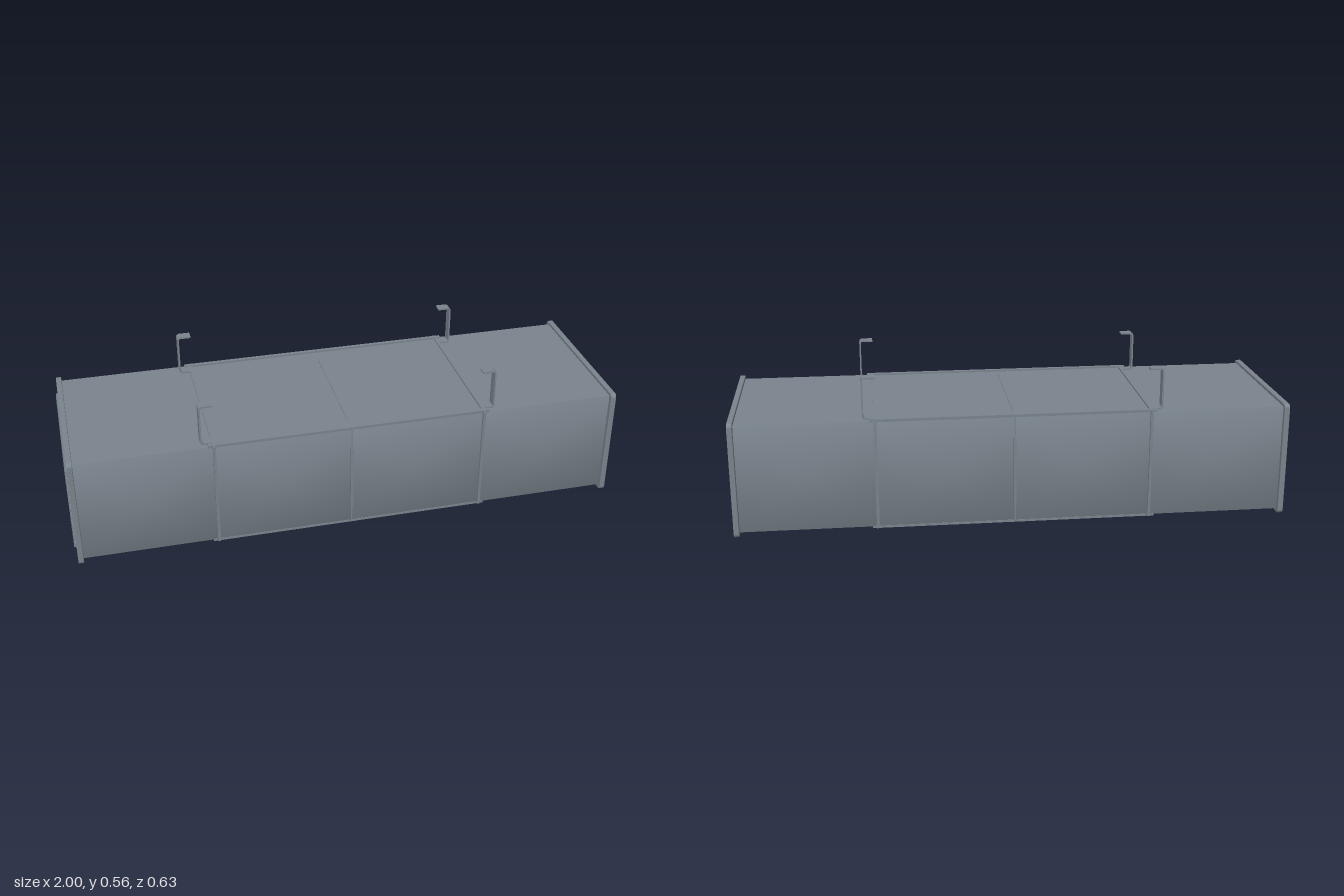
import * as THREE from 'three';

const metal = new THREE.MeshStandardMaterial({ color: 0x7b858e, side: THREE.DoubleSide });

const Y0 = 0.015, Y1 = 0.408, YC = 0.2115, ZW = 0.295;

function add(parent, name, geometry) {
  const mesh = new THREE.Mesh(geometry, metal);
  mesh.name = name;
  parent.add(mesh);
  return mesh;
}

function box(parent, name, w, h, d, x, y, z) {
  const mesh = add(parent, name, new THREE.BoxGeometry(w, h, d));
  mesh.position.set(x, y, z);
  return mesh;
}

// Rounded rectangle centred on (0, cy)
function roundedRect(path, w, h, r, cy = 0) {
  const a = w / 2 - r, b = h / 2 - r;
  path.moveTo(-a, cy - h / 2);
  path.lineTo(a, cy - h / 2);
  path.absarc(a, cy - b, r, -Math.PI / 2, 0);
  path.absarc(a, cy + b, r, 0, Math.PI / 2);
  path.absarc(-a, cy + b, r, Math.PI / 2, Math.PI);
  path.absarc(-a, cy - b, r, Math.PI, Math.PI * 1.5);
  return path;
}

// Shallow pyramid pressed into one side panel, softly shaded towards its corners
function pyramidPanel(x0, x1, side) {
  const pos = [(x0 + x1) / 2, YC, side * (ZW + 0.013)];
  const normals = [0, 0, side];
  const index = [];
  const n = new THREE.Vector3();
  [[-1, -1], [1, -1], [1, 1], [-1, 1]].forEach(([sx, sy], i) => {
    pos.push(sx < 0 ? x0 : x1, sy < 0 ? Y0 : Y1, side * ZW);
    n.set(sx * 0.12, sy * 0.3, side).normalize();
    normals.push(n.x, n.y, n.z);
    const a = 1 + i, b = 1 + (i + 1) % 4;
    index.push(0, side > 0 ? a : b, side > 0 ? b : a);
  });
  const g = new THREE.BufferGeometry();
  g.setAttribute('position', new THREE.Float32BufferAttribute(pos, 3));
  g.setAttribute('normal', new THREE.Float32BufferAttribute(normals, 3));
  g.setIndex(index);
  return g;
}

// Extrude a (z, y) outline along x from x0
function plateAlongX(parent, name, shape, x0, depth, bevel = 0) {
  const g = new THREE.ExtrudeGeometry(shape, {
    depth: depth - 2 * bevel, bevelEnabled: bevel > 0, bevelSize: bevel,
    bevelThickness: bevel, bevelOffset: -bevel, bevelSegments: 4, curveSegments: 6,
  });
  g.rotateY(Math.PI / 2);
  const mesh = add(parent, name, g);
  mesh.position.set(x0 + bevel, YC, 0);
  return mesh;
}

function buildDuct(root) {
  const duct = new THREE.Group();
  duct.name = 'ductBody';
  root.add(duct);
  box(duct, 'topSheet', 1.96, 0.004, 2 * ZW, 0, Y1 - 0.002, 0);
  box(duct, 'bottomSheet', 1.96, 0.004, 2 * ZW, 0, Y0 + 0.002, 0);
  for (const side of [-1, 1])
    for (let i = 0; i < 4; i++)
      add(duct, 'sidePanel', pyramidPanel(-0.98 + i * 0.49, -0.49 + i * 0.49, side));
}

function buildFlange(root, x0) {
  const shape = roundedRect(new THREE.Shape(), 0.626, 0.42, 0.015);
  shape.holes.push(roundedRect(new THREE.Path(), 0.588, 0.393, 0.012));
  plateAlongX(root, 'endFlange', shape, x0, 0.02, 0.003).position.y = 0.21;
}

function buildStraps(root) {
  // Bands round the duct at the quarter joints
  for (const x of [-0.49, 0.49]) {
    const band = new THREE.Group();
    band.name = 'jointBand';
    root.add(band);
    for (const s of [-1, 1]) {
      box(band, 'bandSide', 0.01, 0.4, 0.012, x, YC, s * 0.299);
      box(band, 'bandAcross', 0.01, 0.008, 0.6, x, s > 0 ? 0.41 : 0.013, 0);
    }
  }
  for (const s of [-1, 1]) {
    // Middle seam and its short side ribs
    box(root, 'middleRib', 0.01, 0.25, 0.012, 0, 0.205, s * 0.298);
    box(root, 'middleSeamSide', 0.005, 0.39, 0.008, 0, YC, s * 0.296);
    box(root, 'middleSeam', 0.004, 0.005, 0.47, 0, s > 0 ? 0.4085 : 0.0145, 0);
    // Lengthwise rails between the bands
    box(root, 'topRail', 1.02, 0.01, 0.014, 0, 0.41, s * 0.29);
    box(root, 'bottomRail', 0.98, 0.005, 0.008, 0, 0.0125, s * 0.18);
    box(root, 'bottomEdgeRail', 1.02, 0.008, 0.01, 0, 0.013, s * 0.292);
  }
}

// Bent flat hanger: foot, upright and inward hook with rounded bends
function hangerGeometry() {
  const t = 0.006, r = 0.012, X = 0.535, yb = 0.408, yt = 0.56, xi = 0.485;
  const s = new THREE.Shape();
  s.moveTo(xi, yb);
  s.lineTo(X - r, yb);
  s.absarc(X - r, yb + r, r, -Math.PI / 2, 0);
  s.lineTo(X, yt - r);
  s.absarc(X - r, yt - r, r, 0, Math.PI / 2);
  s.lineTo(xi, yt);
  s.lineTo(xi, yt - t);
  s.lineTo(X - r, yt - t);
  s.absarc(X - r, yt - r, r - t, Math.PI / 2, 0, true);
  s.lineTo(X - t, yb + r);
  s.absarc(X - r, yb + r, r - t, 0, -Math.PI / 2, true);
  s.lineTo(xi, yb + t);
  const g = new THREE.ExtrudeGeometry(s, { depth: 0.034, bevelEnabled: false, curveSegments: 5 });
  g.translate(0, 0, -0.017);
  return g;
}

function buildHangers(root) {
  const g = hangerGeometry();
  for (const sx of [-1, 1])
    for (const z of [-0.259, 0.259]) {
      const hanger = add(root, 'hangerBracket', g);
      hanger.position.z = z;
      if (sx < 0) hanger.rotation.y = Math.PI;
    }
}

function buildGrille(root) {
  const grille = new THREE.Group();
  grille.name = 'ventGrille';
  grille.position.z = 0.0025;
  root.add(grille);
  const slotW = 0.548, slotH = 0.021;
  const plate = roundedRect(new THREE.Shape(), 0.587, 0.392, 0.012);

  // Louvre hood: a curved strip from the slot top, leaning out and down
  const hood = new THREE.Shape();
  hood.moveTo(0, 0.011);
  hood.quadraticCurveTo(-0.014, 0.011, -0.016, -0.006);
  hood.lineTo(-0.014, -0.006);
  hood.lineTo(0, 0.009);
  const hoodG = new THREE.ExtrudeGeometry(hood, { depth: slotW, bevelEnabled: false, curveSegments: 6 });
  hoodG.translate(0, 0, -slotW / 2);

  // Closed cheek at each end of a hood
  const cheek = new THREE.Shape();
  cheek.moveTo(0, 0.011);
  cheek.quadraticCurveTo(-0.014, 0.011, -0.016, -0.006);
  cheek.lineTo(0, -0.01);
  const cheekG = new THREE.ShapeGeometry(cheek, 6);

  for (let i = 0; i < 9; i++) {
    const y = 0.061 + i * 0.0378;
    plate.holes.push(roundedRect(new THREE.Path(), slotW, slotH, 0.005, y - YC));
    add(grille, 'louvre', hoodG).position.set(-0.984, y, 0);
    for (const s of [-1, 1])
      add(grille, 'louvreEnd', cheekG).position.set(-0.984, y, s * slotW / 2);
  }
  plateAlongX(grille, 'grillePlate', plate, -0.985, 0.005);
}

export function createModel() {
  const root = new THREE.Group();
  root.name = 'ventilationDuct';
  buildDuct(root);
  buildFlange(root, -0.992);
  buildFlange(root, 0.976);
  buildStraps(root);
  buildHangers(root);
  buildGrille(root);
  return root;
}
